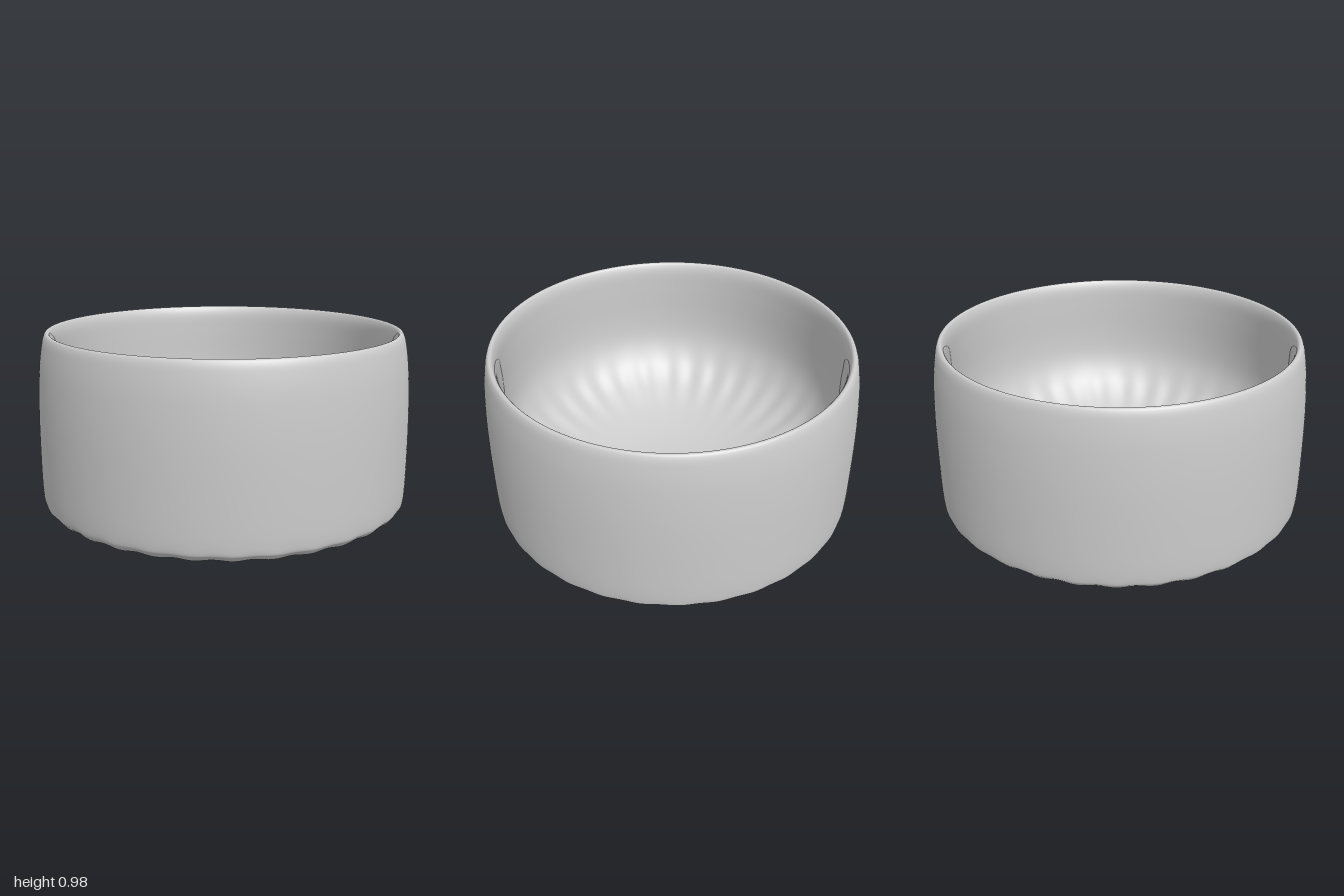
import * as THREE from 'three';
import { mergeVertices } from 'three/addons/utils/BufferGeometryUtils.js';

const FLUTES = 32;
const SEGMENTS = FLUTES * 8;

// Bell-shaped weight around one spot of the profile
const bell = (r, y, r0, y0, wr, wy) =>
  Math.exp(-(((r - r0) / wr) ** 2) - (((y - y0) / wy) ** 2));

export function createModel() {
  const group = new THREE.Group();
  group.name = 'bowl';

  // One smooth section of [radius, height] points
  const section = [
    // underside and rounded foot
    [0, 0.002], [0.3, 0.005], [0.6, 0.01], [0.83, 0.02], [0.93, 0.036],
    [0.978, 0.066], [0.996, 0.12],
    // outer wall
    [1, 0.35], [0.997, 0.6], [0.985, 0.8], [0.968, 0.92],
    // rim
    [0.954, 0.968], [0.938, 0.981], [0.922, 0.968],
    // inner wall
    [0.909, 0.92], [0.905, 0.82], [0.901, 0.63], [0.885, 0.5],
    // deeply dished floor
    [0.845, 0.4], [0.78, 0.315], [0.68, 0.24], [0.52, 0.167], [0.3, 0.11], [0, 0.08],
  ].map(([r, y]) => new THREE.Vector2(r, y));
  const profile = new THREE.SplineCurve(section).getPoints(184);
  profile.forEach((p) => { p.x = Math.max(p.x, 0); });

  let geometry = new THREE.LatheGeometry(profile, SEGMENTS);

  // Press faint flutes into the foot and the sloping edge of the floor
  const pos = geometry.attributes.position;
  for (let i = 0; i < pos.count; i++) {
    const x = pos.getX(i), y = pos.getY(i), z = pos.getZ(i);
    const r = Math.hypot(x, z);
    const wave = Math.cos(FLUTES * Math.atan2(x, z));
    const shift = wave * (0.003 * bell(r, y, 0.945, 0.04, 0.07, 0.05)
      + 0.003 * bell(r, y, 0.74, 0.28, 0.16, 0.16));
    const scale = r > 0 ? 1 - shift / r : 1;
    pos.setXYZ(i, x * scale, Math.max(0, y + shift), z * scale);
  }

  // Weld the seam so the shading runs all the way round
  geometry.deleteAttribute('uv');
  geometry.deleteAttribute('normal');
  geometry = mergeVertices(geometry, 1e-5);
  geometry.computeVertexNormals();

  const bowl = new THREE.Mesh(geometry, new THREE.MeshStandardMaterial({ color: 0xcccccc }));
  bowl.name = 'flutedBowl';
  group.add(bowl);
  return group;
}
